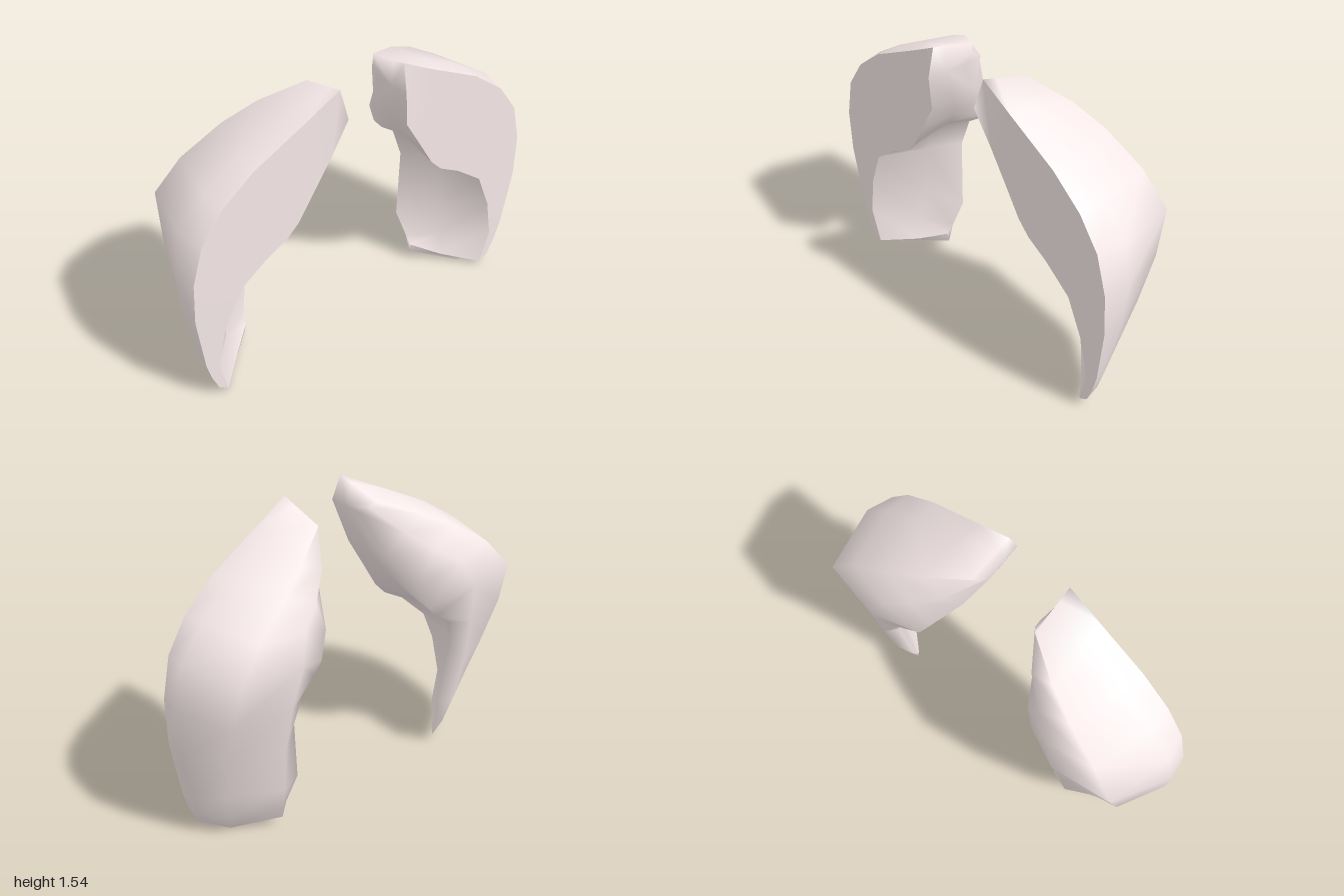
import * as THREE from 'three';

// Rails running along the curved shell from the neck end to the lower tip.
const frontOuter = [[.18, 1.54], [.36, 1.44], [.64, 1.29], [.81, 1.15], [.92, .99], [.97, .78], [.97, .55], [.92, .24], [.89, .14], [.85, .05]];
const frontInner = [[.165, 1.4], [.22, 1.18], [.32, 1.01], [.395, .88], [.46, .81], [.58, .74], [.73, .62], [.81, .42], [.85, .2], [.80, .02]];
const backOuter = [[.19, 1.47, .01], [.39, 1.38, -.1], [.55, 1.29, -.16], [.75, 1.15, -.21], [.88, .99, -.24], [.89, .76, -.18], [.87, .52, -.1], [.82, .28, -.03], [.79, .12, .02], [.73, 0, .08]];
const back = [[.165, 1.44, .04], [.27, 1.32, -.1], [.39, 1.22, -.19], [.51, 1.14, -.25], [.57, 1.0, -.295], [.6, .77, -.25], [.61, .53, -.21], [.58, .28, -.165], [.56, .14, -.12], [.53, .05, -.08]];
const backInner = [[.152, 1.4, .09], [.22, 1.19, -.02], [.305, 1.04, -.16], [.36, .91, -.19], [.41, .85, -.19], [.49, .79, -.2], [.53, .64, -.18], [.48, .3, -.14], [.52, .15, -.1], [.53, .1, -.07]];
const dent = [0, 0, 0, .08, .15, .3, .48, .6, .6, .4]; // hollow of the inner wall
const bulge = [0, .02, .02, .035, .052, .052, .035, .025, .02, .01]; // swell of the outer wall

const vec = (a) => new THREE.Vector3(...a);

// One closed cross-section: outer front edge, round the back, to the inner front edge.
function section(k) {
  const [ax, ay] = frontOuter[k], [gx, gy] = frontInner[k];
  const a = new THREE.Vector3(ax, ay, .18 + .047 * ay);
  const g = new THREE.Vector3(gx, gy, k === 0 ? .295 : .18 + .05 * gy);
  const c = vec(backOuter[k]), d = vec(back[k]), e = vec(backInner[k]);
  const out = a.clone().sub(g).setZ(0).normalize();
  const b = a.clone().lerp(c, .3).addScaledVector(out, bulge[k]);
  const h = e.clone().lerp(g, .5).lerp(c.clone().lerp(d, .5), dent[k]);
  return [a, b, c, d, e, h, g];
}

// Indexed mesh, mirrored by side with its winding kept outward.
function surface(name, points, triangles, side, material) {
  const geo = new THREE.BufferGeometry();
  geo.setAttribute('position', new THREE.Float32BufferAttribute(points.flatMap((p) => [p.x * side, p.y, p.z]), 3));
  geo.setIndex(triangles.flatMap(([i, j, l]) => (side > 0 ? [i, j, l] : [i, l, j])));
  geo.computeVertexNormals();
  const mesh = new THREE.Mesh(geo, material);
  mesh.name = name;
  return mesh;
}

// Triangles joining consecutive rows of n points.
function strip(rows, n) {
  const tris = [];
  for (let k = 0; k < rows - 1; k++) {
    for (let p = 0; p < n - 1; p++) {
      const i = k * n + p, j = i + n;
      tris.push([i, j, i + 1], [j, j + 1, i + 1]);
    }
  }
  return tris;
}

export function createModel() {
  const model = new THREE.Group();
  model.name = 'shoulderShells';
  const material = new THREE.MeshStandardMaterial({ color: 0xf8eaea });
  const rings = frontOuter.map((_, k) => section(k));
  // Cap triangles, fanned from the hollow of a section
  const fan = [0, 1, 2, 3, 4].map((i) => [5, (5 + i + 1) % 7, (5 + i + 2) % 7]);

  for (const side of [1, -1]) {
    const shell = new THREE.Group();
    shell.name = side > 0 ? 'leftShell' : 'rightShell';

    // Smooth curved wall, rounding into the closed neck end
    shell.add(surface('curvedWall', rings.flat(), [...strip(rings.length, 7), ...fan], side, material));
    // Flat front face between the two front edges
    shell.add(surface('frontFace', rings.flatMap((r) => [r[6], r[0]]), strip(rings.length, 2), side, material));
    // Lower end cap
    shell.add(surface('lowerEnd', rings[rings.length - 1], fan.map(([i, j, l]) => [i, l, j]), side, material));

    model.add(shell);
  }
  return model;
}
